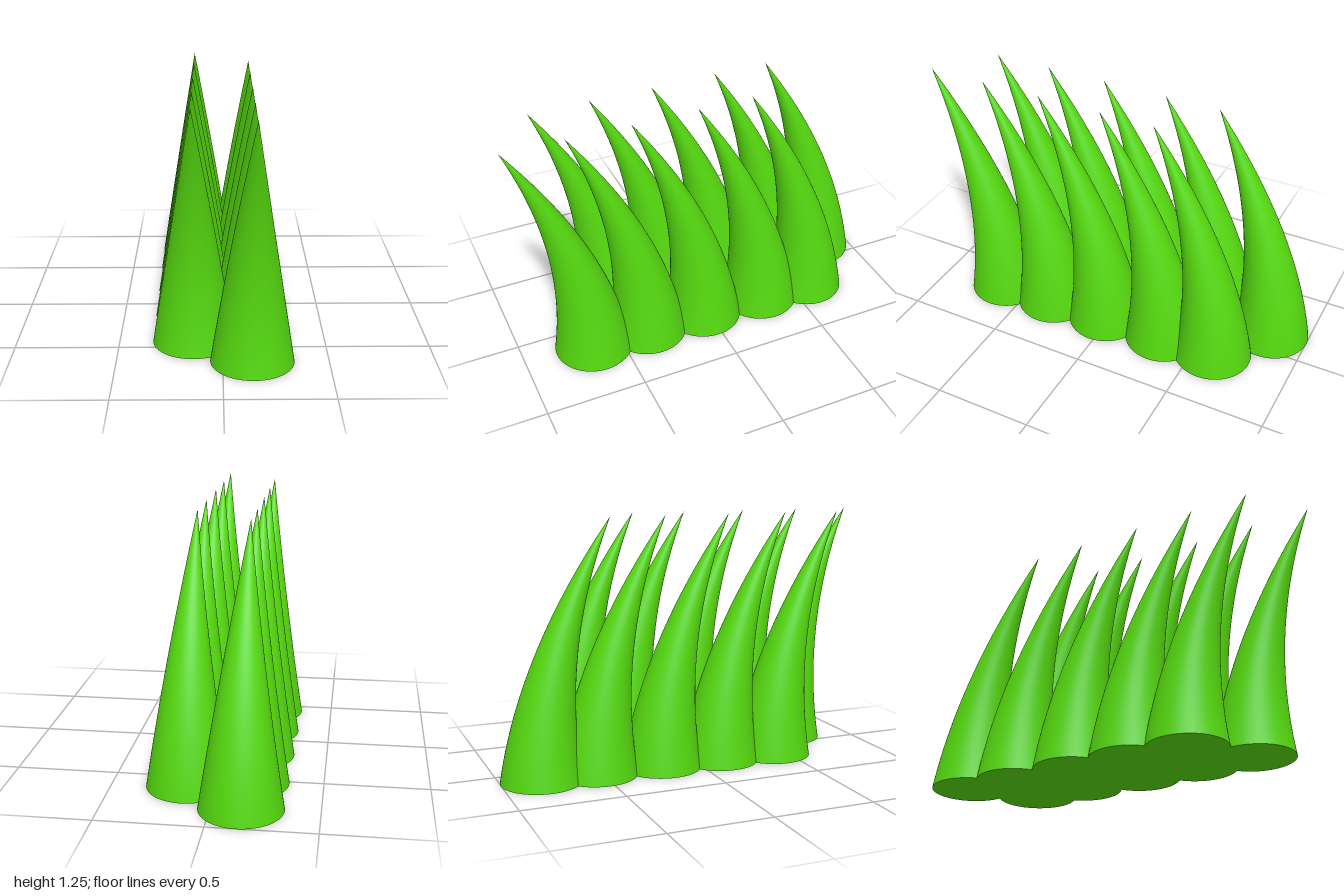
import * as THREE from 'three';

const HEIGHT = 1.255, RADIUS = 0.198, LEAN = 0.362;

// Cone whose axis curves forward along a parabola
function bladeGeometry() {
  const geo = new THREE.ConeGeometry(RADIUS, HEIGHT, 64, 32);
  geo.translate(0, HEIGHT / 2, 0);
  const pos = geo.attributes.position, nor = geo.attributes.normal;
  const n = new THREE.Vector3();
  for (let i = 0; i < pos.count; i++) {
    const t = pos.getY(i) / HEIGHT;
    pos.setZ(i, pos.getZ(i) + LEAN * t * t);
    // Shear the normal to match the bend
    n.fromBufferAttribute(nor, i);
    n.y -= (2 * LEAN * t / HEIGHT) * n.z;
    n.normalize();
    nor.setXYZ(i, n.x, n.y, n.z);
  }
  return geo;
}

export function createModel() {
  const group = new THREE.Group();
  group.name = 'grassTuft';
  const material = new THREE.MeshStandardMaterial({ color: 0x55d80f });
  const geometry = bladeGeometry();

  // Two staggered rows of blades
  const rows = [
    { name: 'leftBlade', x: 0.139, z: 0.023 },
    { name: 'rightBlade', x: -0.139, z: -0.189 },
  ];
  const spacing = [-0.615, -0.335, 0, 0.315, 0.615];
  for (const row of rows) {
    spacing.forEach((dz, i) => {
      const blade = new THREE.Mesh(geometry, material);
      blade.name = `${row.name}${i + 1}`;
      blade.position.set(row.x, 0, row.z + dz);
      group.add(blade);
    });
  }
  return group;
}
